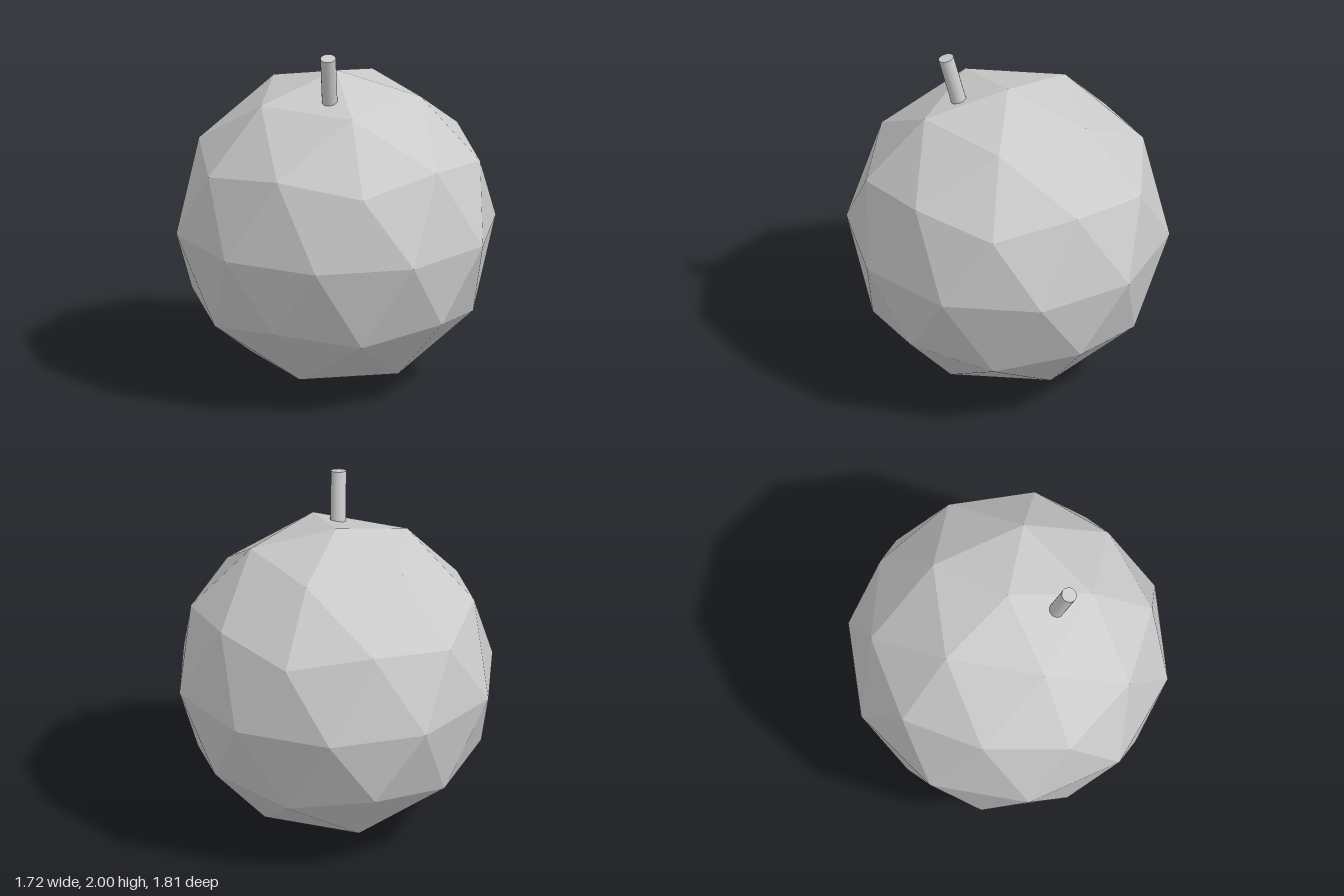
import * as THREE from 'three';

export function createModel() {
  const group = new THREE.Group();
  const R = 0.903;

  // Faceted fruit body, turned so that a five-sided corner points straight up
  const bodyGeometry = new THREE.IcosahedronGeometry(R, 1);
  bodyGeometry.rotateZ(-Math.atan(2 / (1 + Math.sqrt(5))));
  const body = new THREE.Mesh(
    bodyGeometry,
    new THREE.MeshStandardMaterial({ color: 0xcccccc, flatShading: true })
  );
  body.name = 'fruitBody';
  body.position.y = R;
  group.add(body);

  // Round stem leaning forward, its foot sunk into the body
  const length = 0.4;
  const stemGeometry = new THREE.CylinderGeometry(0.0435, 0.0435, length, 16);
  stemGeometry.translate(0, -length / 2, 0); // pivot at the tip
  const stem = new THREE.Mesh(
    stemGeometry,
    new THREE.MeshStandardMaterial({ color: 0xcccccc })
  );
  stem.name = 'stem';
  stem.position.set(0, 1.989, 0.346);
  stem.rotation.x = 0.25;
  group.add(stem);

  return group;
}
